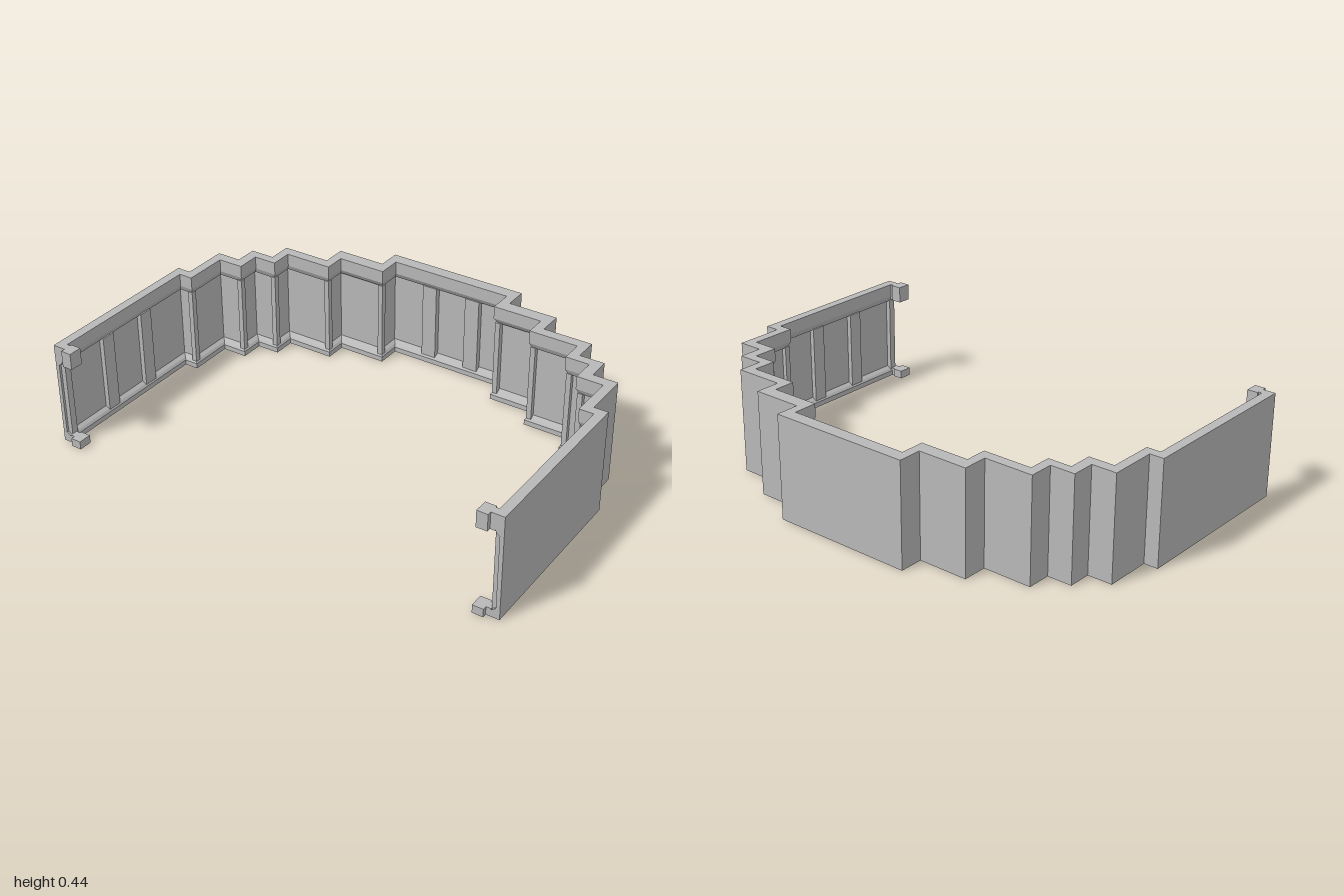
import * as THREE from 'three';

const HEIGHT = 0.44;

// Right half of the stepped plan: [outer x, outer z, inner x, inner z]
const HALF = [
  [1, 0.67, 0.96, 0.67],
  [1, -0.09, 0.96, -0.05],
  [0.94, -0.09, 0.9, -0.05],
  [0.94, -0.29, 0.9, -0.245],
  [0.835, -0.29, 0.79, -0.245],
  [0.835, -0.388, 0.79, -0.348],
  [0.73, -0.388, 0.69, -0.348],
  [0.73, -0.49, 0.69, -0.445],
  [0.52, -0.49, 0.48, -0.445],
  [0.52, -0.595, 0.48, -0.537],
  [0.307, -0.595, 0.268, -0.537],
  [0.307, -0.695, 0.268, -0.64],
];
const PATH = [...HALF, ...HALF.slice().reverse().map(([a, b, c, d]) => [-a, b, -c, d])];

// Wall section: [depth from outer face (0) to inner trim (1), y]
const PROFILE = [
  [0, 0], [1, 0], [1, 0.022], [0.8, 0.032], [0.42, 0.042],
  [0.42, 0.355], [0.7, 0.36], [0.85, 0.372], [1, 0.385], [1, HEIGHT], [0, HEIGHT],
];

// Sweeps the section along the stepped plan with crisp faces
function sweepWall() {
  const ring = PATH.map(([ox, oz, ix, iz]) =>
    PROFILE.map(([k, y]) => [ox + (ix - ox) * k, y, oz + (iz - oz) * k]));
  const pos = [];
  const n = PROFILE.length;
  for (let i = 0; i < ring.length - 1; i++) {
    for (let j = 0; j < n; j++) {
      const a = ring[i][j], b = ring[i][(j + 1) % n];
      const c = ring[i + 1][(j + 1) % n], d = ring[i + 1][j];
      pos.push(...a, ...b, ...c, ...a, ...c, ...d);
    }
  }
  // End caps
  const tris = THREE.ShapeUtils.triangulateShape(PROFILE.map(([k, y]) => new THREE.Vector2(k, y)), []);
  for (const r of [ring[0], ring[ring.length - 1]]) {
    for (const t of tris) t.forEach((v) => pos.push(...r[v]));
  }
  const geo = new THREE.BufferGeometry();
  geo.setAttribute('position', new THREE.Float32BufferAttribute(pos, 3));
  geo.computeVertexNormals();
  return geo;
}

export function createModel() {
  const group = new THREE.Group();
  const stone = new THREE.MeshStandardMaterial({ color: 0xb8b8b8, side: THREE.DoubleSide });
  stone.name = 'pale grey';

  const add = (name, geo, x, y, z) => {
    const mesh = new THREE.Mesh(geo, stone);
    mesh.name = name;
    mesh.position.set(x, y, z);
    group.add(mesh);
  };
  const post = (name, x, z, w, d) =>
    add(name, new THREE.BoxGeometry(w, 0.335, d), x, 0.1975, z);

  add('steppedWall', sweepWall(), 0, 0, 0);

  for (const s of [1, -1]) {
    // Broad pilasters between the panels
    post('backPilaster', s * 0.103, -0.662, 0.066, 0.03);
    for (const z of [0.405, 0.175]) post('sidePilaster', s * 0.975, z, 0.024, 0.062);
    post('endPilaster', s * 0.975, 0.645, 0.024, 0.03);

    // Slim posts on the projecting inner corners
    for (let i = 2; i < HALF.length; i += 2) {
      const [, , ix, iz] = HALF[i];
      post('cornerPost', s * (ix + 0.016), iz - 0.018, 0.022, 0.024);
    }

    // Cornice and plinth returns at the open ends
    const plan = new THREE.Shape([
      [0.965, 0.637], [0.945, 0.637], [0.945, 0.63], [0.9, 0.63],
      [0.9, 0.688], [0.945, 0.688], [0.945, 0.67], [0.965, 0.67],
    ].map(([x, z]) => new THREE.Vector2(s * x, -z)));
    for (const [name, y, h] of [['plinthReturn', 0, 0.035], ['corniceReturn', 0.37, HEIGHT - 0.37]]) {
      const geo = new THREE.ExtrudeGeometry(plan, { depth: h, bevelEnabled: false });
      geo.rotateX(-Math.PI / 2);
      add(name, geo, 0, y, 0);
    }
  }
  return group;
}
